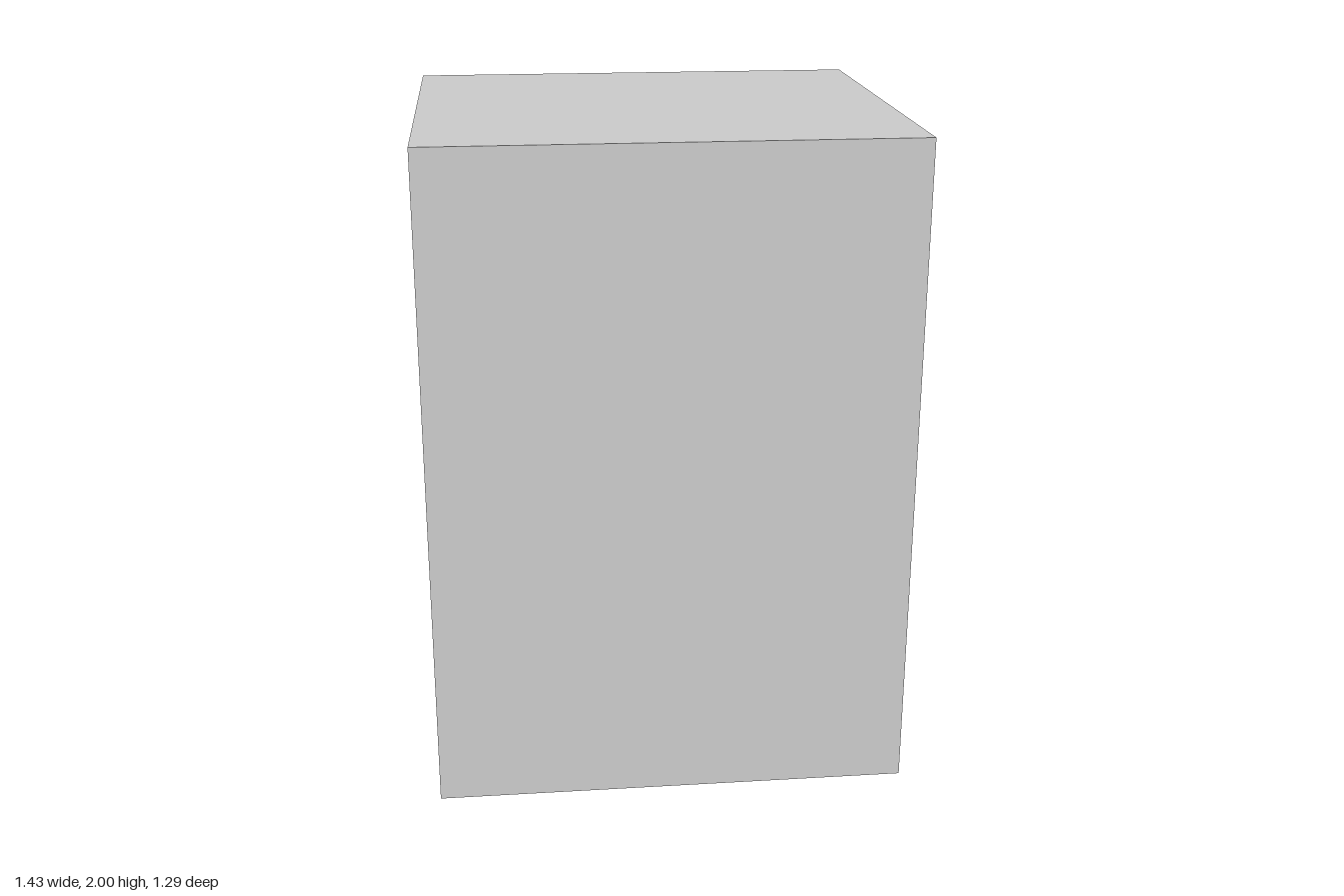
import * as THREE from 'three';

const W = 1.426, H = 2, D = 1.288; // overall width, height, depth
const FRONT = D / 2;

export function createModel() {
  const group = new THREE.Group();
  const sheetMaterial = new THREE.MeshStandardMaterial({ color: 0xcccccc, side: THREE.DoubleSide });
  const solidMaterial = new THREE.MeshStandardMaterial({ color: 0xcccccc, flatShading: true });

  // Paper-thin sheets: front, top and bottom
  const sheet = (name, height, y, z, tilt) => {
    const mesh = new THREE.Mesh(new THREE.PlaneGeometry(W, height), sheetMaterial);
    mesh.name = name;
    mesh.position.set(0, y, z);
    mesh.rotation.x = tilt;
    group.add(mesh);
  };
  sheet('frontPanel', H, H / 2, FRONT, 0);
  sheet('topPanel', D, H, 0, -Math.PI / 2);
  sheet('bottomPanel', D, 0, 0, Math.PI / 2);

  // Ribbed board behind the front: comb profile (z, y) drawn across the width
  const ribs = 7, bottom = 0.214, pitch = 0.0712, ribHeight = 0.057;
  const ribZ = 0.616, grooveZ = 0.634;
  const profile = new THREE.Shape();
  profile.moveTo(FRONT, bottom);
  profile.lineTo(FRONT, bottom + (ribs - 1) * pitch + ribHeight);
  for (let i = ribs - 1; i >= 0; i--) {
    const y = bottom + i * pitch;
    if (i < ribs - 1) profile.lineTo(grooveZ, y + ribHeight);
    profile.lineTo(ribZ, y + ribHeight);
    profile.lineTo(ribZ, y);
    if (i > 0) profile.lineTo(grooveZ, y);
  }
  profile.closePath();
  const geometry = new THREE.ExtrudeGeometry(profile, { depth: W, bevelEnabled: false });
  geometry.translate(0, 0, -W / 2).rotateY(-Math.PI / 2);
  const board = new THREE.Mesh(geometry, solidMaterial);
  board.name = 'ribbedBoard';
  group.add(board);

  return group;
}
